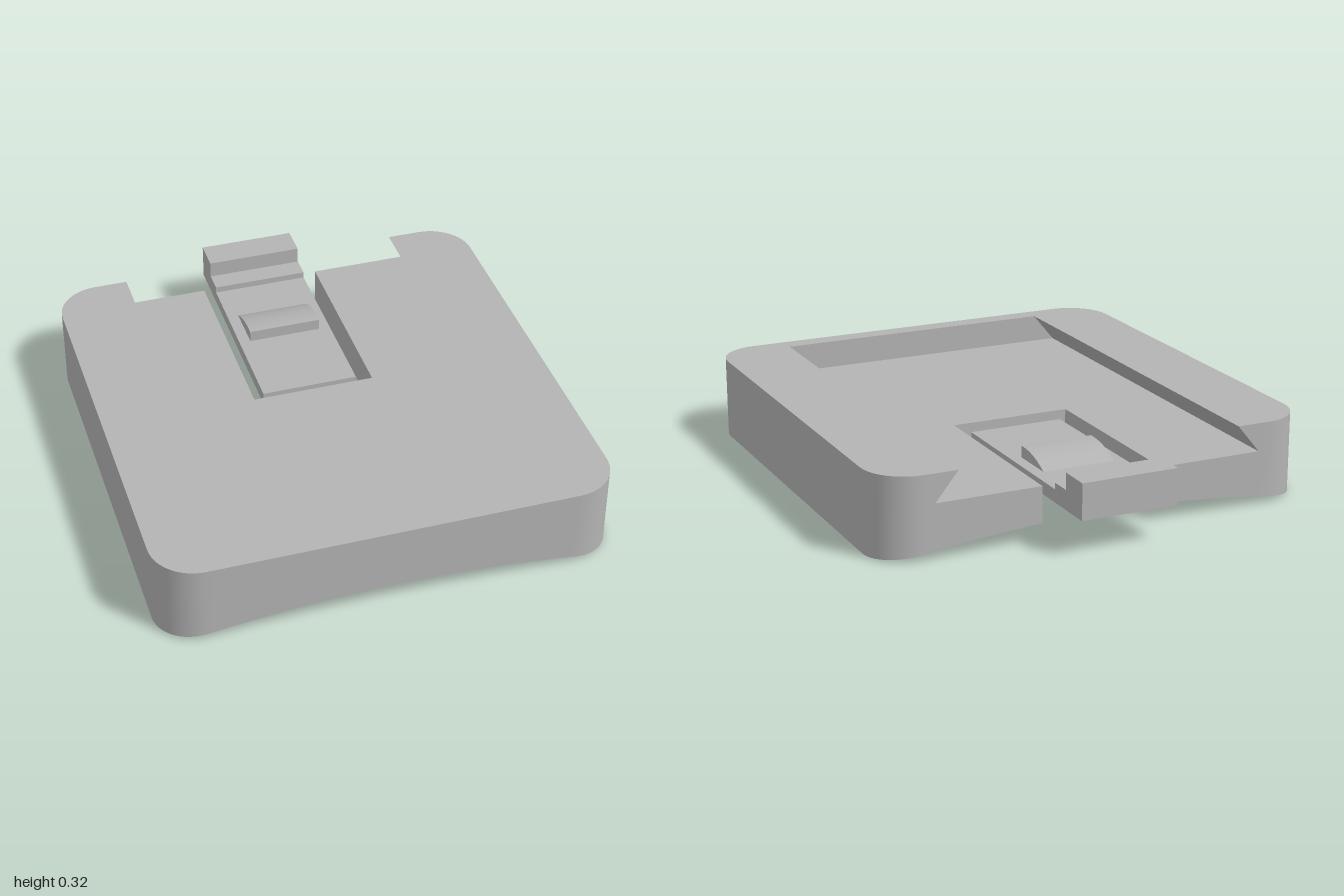
import * as THREE from 'three';
import { mergeGeometries, toCreasedNormals } from 'three/addons/utils/BufferGeometryUtils.js';

const HALF = 0.865, FRONT = 1, BACK = -0.79, R = 0.17;   // outer plan
const TOP = 0.32, FLOOR = 0.21, STOP = 0.925;            // dovetail channel
const LIP = 0.565, TIP = 0.655;                          // channel half widths: top, floor
const SLOT = 0.24, SLOT_END = -0.02;                     // slot for the latch

// arched underside and rounded plan corners
const under = x => 0.075 * (1 - (x / HALF) ** 2);
const inset = x => {
  const d = Math.max(0, Math.abs(x) - (HALF - R));
  return R - Math.sqrt(Math.max(0, R * R - d * d));
};

function triangles(points) {
  const g = new THREE.BufferGeometry();
  g.setAttribute('position', new THREE.Float32BufferAttribute(points.flat(), 3));
  return g;
}

// skin over cross-sections [z, y] taken at rising x
function loft(xs, section, closed = true) {
  const out = [];
  for (let i = 0; i < xs.length - 1; i++) {
    const [x0, x1] = [xs[i], xs[i + 1]];
    const s0 = section(x0), s1 = section(x1), n = s0.length;
    for (let j = 0; j < (closed ? n : n - 1); j++) {
      const k = (j + 1) % n;
      const a = [x0, s0[j][1], s0[j][0]], b = [x1, s1[j][1], s1[j][0]];
      const c = [x1, s1[k][1], s1[k][0]], d = [x0, s0[k][1], s0[k][0]];
      out.push(a, b, c, a, c, d);
    }
  }
  return triangles(out);
}

// upright rectangle at x, facing +x or -x
function sideWall(x, facing, z0, z1, y0, y1) {
  const a = [x, y0, z1], b = [x, y0, z0], c = [x, y1, z0], d = [x, y1, z1];
  return triangles(facing > 0 ? [a, b, c, a, c, d] : [a, c, b, a, d, c]);
}

const steps = (a, b, n) => Array.from({ length: n + 1 }, (_, i) => a + (b - a) * i / n);
const mirrored = xs => xs.map(x => -x).reverse();

// section with channel floor and front stop
const channel = back => x => [
  [FRONT, TOP], [STOP, TOP], [STOP, FLOOR], [back, FLOOR], [back, under(x)], [FRONT, under(x)],
];
// full-height section of the side rails
const rail = x => {
  const f = FRONT - inset(x), b = BACK + inset(x);
  return [[f, TOP], [b, TOP], [b, under(x)], [f, under(x)]];
};
// overhanging dovetail lip
const lip = x => {
  const y = TOP - (TOP - FLOOR) * (Math.abs(x) - LIP) / (TIP - LIP);
  return [[STOP, TOP], [BACK, TOP], [BACK, y], [STOP, y]];
};

function bodyGeometry() {
  const parts = [loft(steps(-SLOT, SLOT, 8), channel(SLOT_END))];
  const wing = steps(SLOT, TIP, 8);
  const arc = steps(0, Math.PI / 2, 12).map(t => HALF - R + R * Math.sin(t));
  const outer = [TIP, ...arc];
  for (const side of [1, -1]) {
    const order = xs => (side > 0 ? xs : mirrored(xs));
    parts.push(
      loft(order(wing), channel(BACK)),
      loft(order(outer), rail),
      loft(order([LIP, TIP]), lip, false),
      sideWall(side * HALF, side, BACK + R, FRONT - R, under(HALF), TOP),
      sideWall(side * SLOT, -side, BACK, SLOT_END, under(SLOT), FLOOR),
    );
  }
  return toCreasedNormals(mergeGeometries(parts), 0.4);
}

// extrude a (z, y) profile across x, centred
function across(shape, width) {
  const g = new THREE.ExtrudeGeometry(shape, { depth: width, bevelEnabled: false, curveSegments: 12 });
  g.rotateY(-Math.PI / 2);
  g.translate(width / 2, 0, 0);
  return toCreasedNormals(g, 0.4);
}

export function createModel() {
  const grey = new THREE.MeshStandardMaterial({ color: 0xb3b3b3 });
  grey.name = 'grey';
  const group = new THREE.Group();
  group.name = 'slidingMount';
  const add = (name, geometry) => {
    const mesh = new THREE.Mesh(geometry, grey);
    mesh.name = name;
    group.add(mesh);
  };

  add('mountBody', bodyGeometry());

  // latch tongue with stepped finger grip at the back
  const tongue = new THREE.Shape([
    [-1, 0.14], [-0.07, 0.14], [-0.07, 0.19], [-0.79, 0.19],
    [-0.79, 0.215], [-0.875, 0.215], [-0.875, 0.28], [-1, 0.28],
  ].map(p => new THREE.Vector2(...p)));
  add('latchTongue', across(tongue, 0.38));

  // curved catch ramp on the tongue
  const ramp = new THREE.Shape();
  ramp.moveTo(-0.605, 0.19);
  ramp.lineTo(-0.42, 0.19);
  ramp.lineTo(-0.42, 0.235);
  ramp.quadraticCurveTo(-0.52, 0.24, -0.605, 0.19);
  add('latchCatch', across(ramp, 0.29));

  return group;
}
